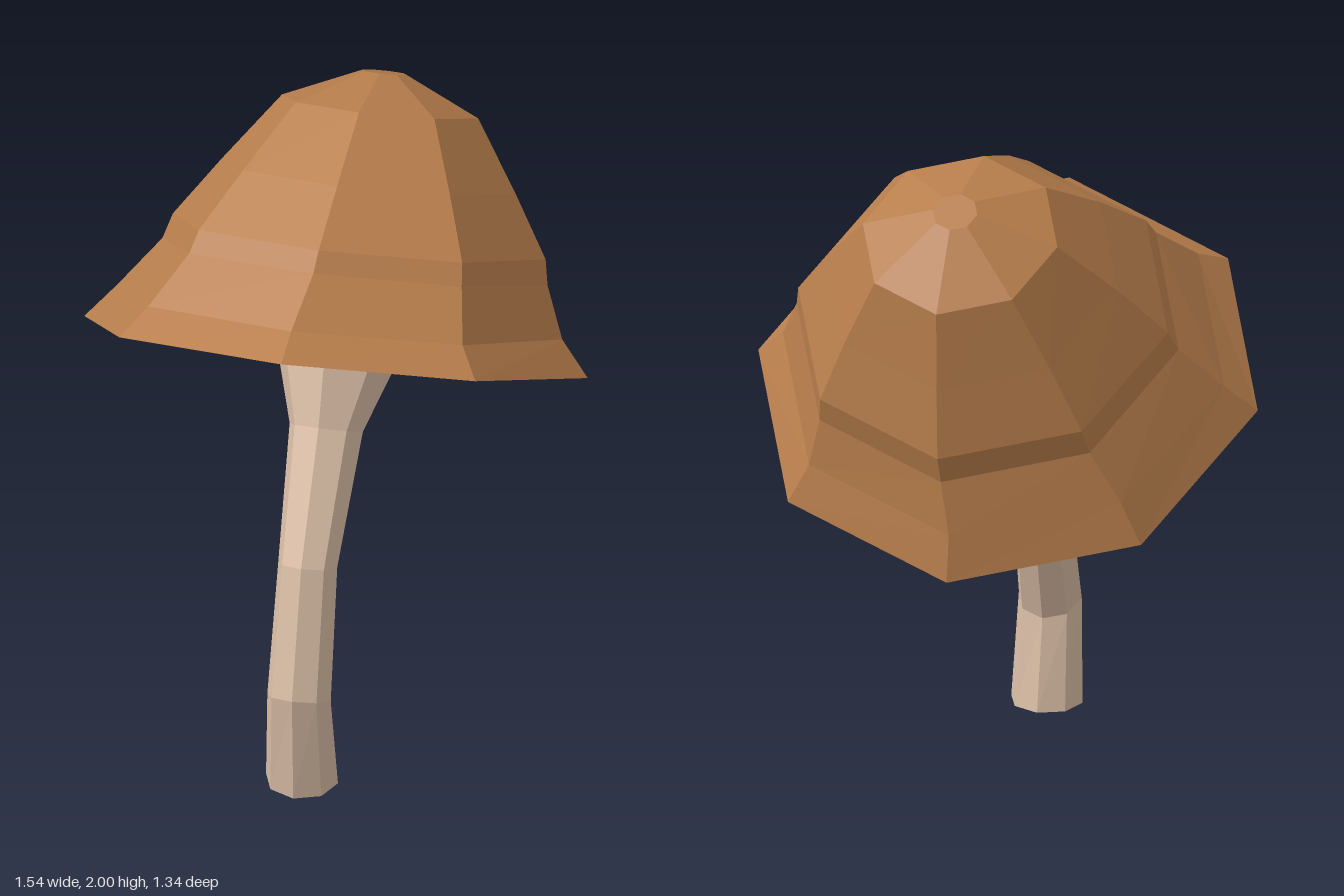
import * as THREE from 'three';

const SIDES = 8;
const TWIST = -0.03;

// Point on a tilted octagonal ring: [centre x, centre y, centre z, radius, tilt in degrees]
function ringPoint([x, y, z, r, tilt], i) {
  const a = TWIST + (i % SIDES) * Math.PI * 2 / SIDES;
  const t = THREE.MathUtils.degToRad(tilt);
  const d = r * Math.cos(a);
  return [x + r * Math.sin(a), y + d * Math.sin(t), z + d * Math.cos(t)];
}

// Faceted skin through a row of rings; a radius of 0 closes an end
function loft(name, rings, material) {
  const pos = [];
  for (let k = 0; k < rings.length - 1; k++) {
    const lo = rings[k], hi = rings[k + 1];
    for (let i = 0; i < SIDES; i++) {
      const a = ringPoint(lo, i), b = ringPoint(lo, i + 1);
      const c = ringPoint(hi, i + 1), d = ringPoint(hi, i);
      if (lo[3] > 0) pos.push(...a, ...b, ...c);
      if (hi[3] > 0) pos.push(...a, ...c, ...d);
    }
  }
  const geo = new THREE.BufferGeometry();
  geo.setAttribute('position', new THREE.Float32BufferAttribute(pos, 3));
  geo.computeVertexNormals(); // unshared corners give flat facets
  const mesh = new THREE.Mesh(geo, material);
  mesh.name = name;
  return mesh;
}

export function createModel() {
  const capBrown = new THREE.MeshStandardMaterial({ color: 0xb87e4c });
  capBrown.name = 'cap brown';
  const stemCream = new THREE.MeshStandardMaterial({ color: 0xd8bca4 });
  stemCream.name = 'stem cream';
  const gillGrey = new THREE.MeshStandardMaterial({ color: 0xb0a498 });
  gillGrey.name = 'gill grey';

  const rim = [0, 1.23, 0, 0.77, 29.6];
  const gillEdge = [0.02, 1.345, -0.066, 0.47, 29.6];
  const stemTop = [0.01, 1.28, -0.03, 0.21, 29.6];

  const group = new THREE.Group();
  group.name = 'mushroom';

  // Curved stem, flaring into the gills
  group.add(loft('stem', [
    [0, 0, 0.483, 0, 0],
    [0, 0, 0.483, 0.11, 0],
    [0, 0.32, 0.525, 0.097, 25],
    [0, 0.718, 0.4, 0.09, 22],
    [0.005, 1.05, 0.162, 0.112, 32],
    stemTop,
  ], stemCream));

  // Gills around the stem
  group.add(loft('gills', [stemTop, gillEdge], gillGrey));

  // Inner lip and outer skin of the cap
  group.add(loft('capLip', [gillEdge, rim], capBrown));
  group.add(loft('cap', [
    rim,
    [0, 1.32, -0.055, 0.68, 28.5],
    [0.03, 1.455, -0.13, 0.589, 30],
    [0.035, 1.522, -0.167, 0.57, 29.2],
    [0.045, 1.68, -0.26, 0.448, 29.4],
    [0.053, 1.85, -0.38, 0.3, 30],
    [0.057, 1.943, -0.425, 0.068, 30],
    [0.057, 1.943, -0.425, 0, 30],
  ], capBrown));

  return group;
}
